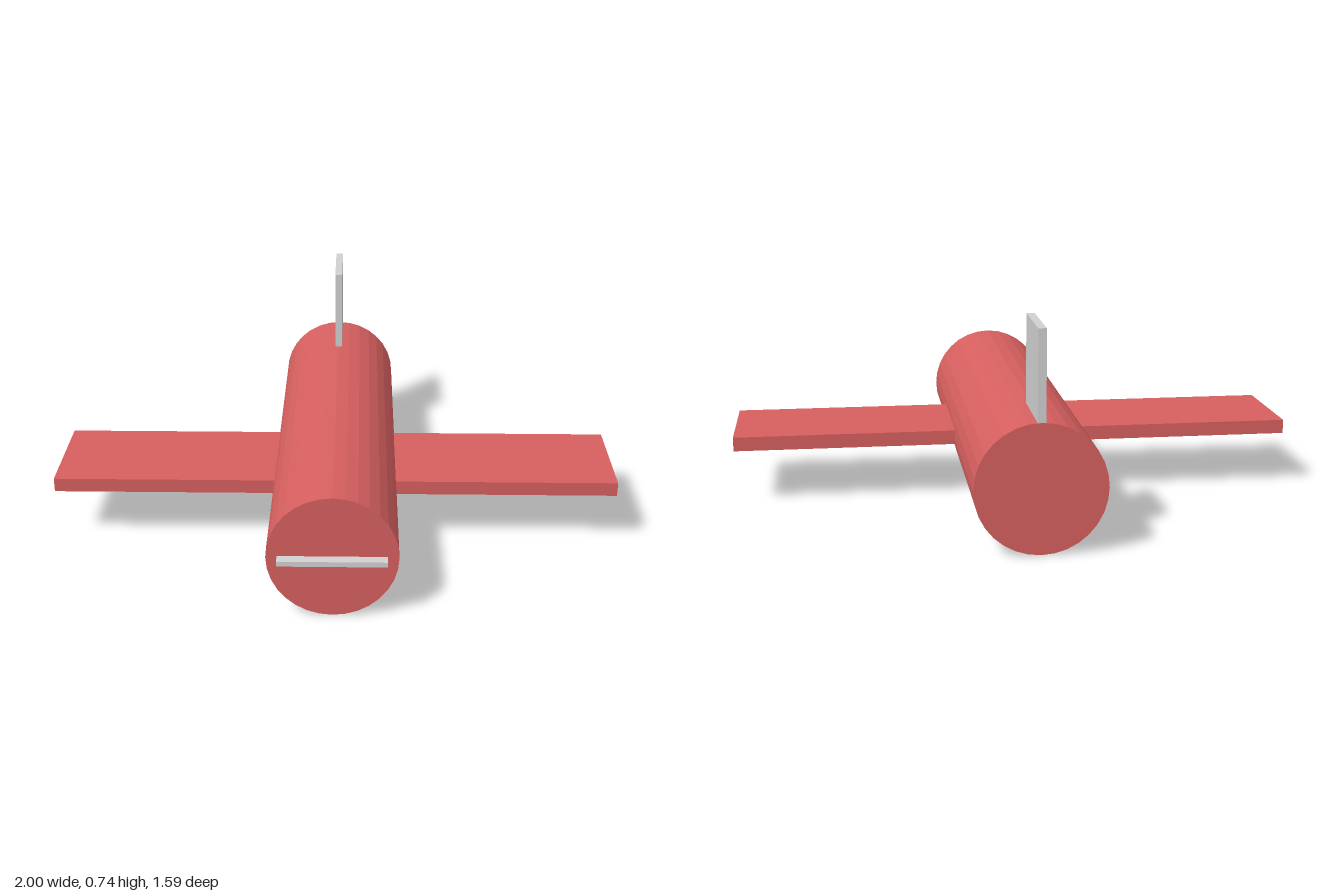
import * as THREE from 'three';

const red = new THREE.MeshStandardMaterial({ color: 0xd65f5f, flatShading: true });
red.name = 'red';
const grey = new THREE.MeshStandardMaterial({ color: 0xd0d0d0, flatShading: true });
grey.name = 'light grey';

const RADIUS = 0.2175;
const BACK = -0.795;
const NOSE = 0.752;

export function createModel() {
  const plane = new THREE.Group();
  plane.name = 'plane';

  const add = (name, geometry, material, x, y, z) => {
    const mesh = new THREE.Mesh(geometry, material);
    mesh.name = name;
    mesh.position.set(x, y, z);
    plane.add(mesh);
  };

  // Faceted barrel lying along z
  const barrel = new THREE.CylinderGeometry(RADIUS, RADIUS, NOSE - BACK, 32).rotateX(Math.PI / 2);
  add('fuselage', barrel, red, 0, RADIUS, (NOSE + BACK) / 2);

  // One straight slab passes through the fuselage
  add('wing', new THREE.BoxGeometry(2, 0.05, 0.397), red, 0, RADIUS, 0.067);

  // Upright fin rooted in the fuselage, a hair inside its rear face
  add('tailFin', new THREE.BoxGeometry(0.027, 0.515, 0.269), grey, 0, 0.4775, BACK + 0.1355);

  // Thin blade just ahead of the nose
  add('propeller', new THREE.BoxGeometry(0.36, 0.018, 0.036), grey, 0, RADIUS, 0.777);

  return plane;
}
